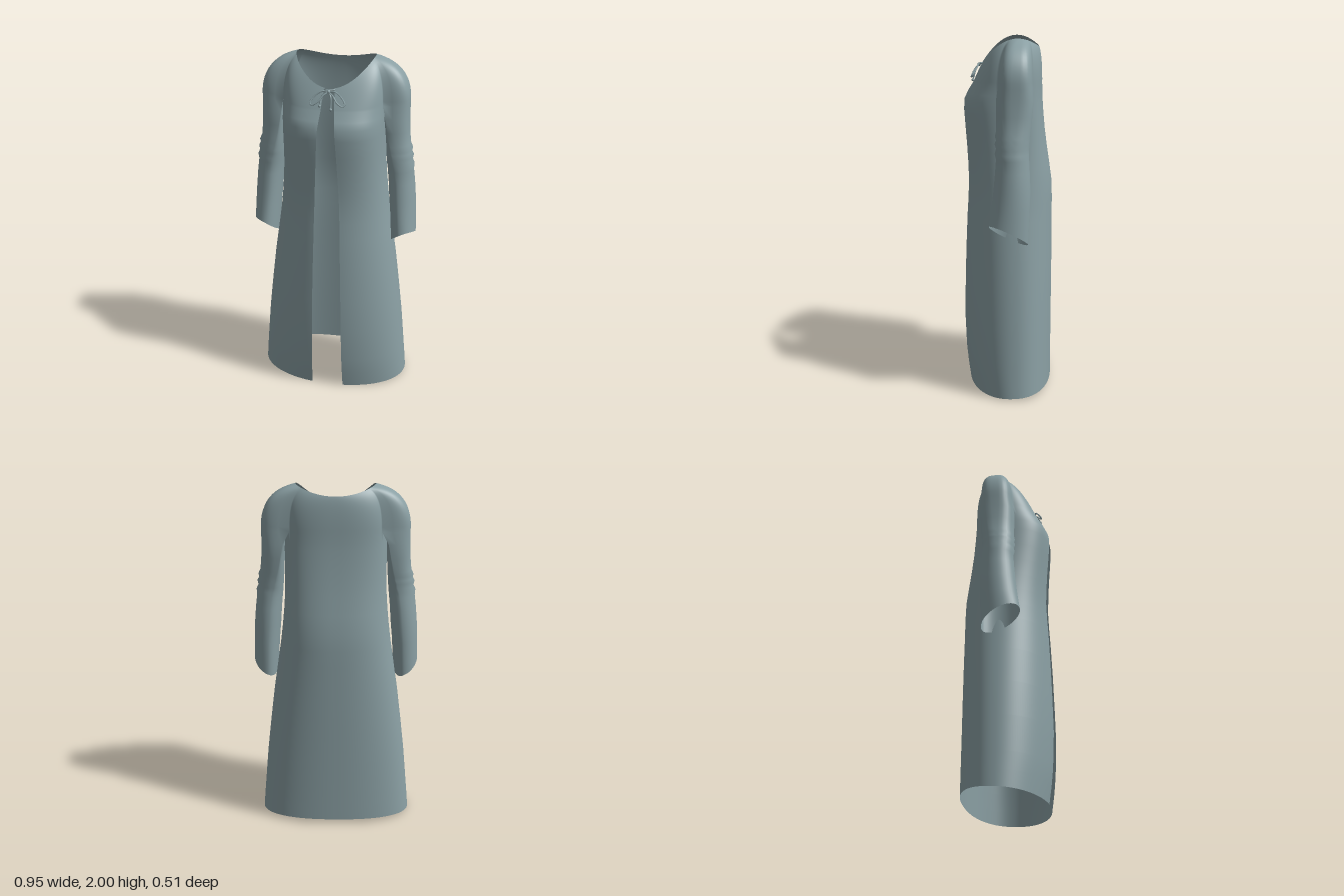
import * as THREE from 'three';

const N = 128;           // columns around the robe, starting and ending at the front slit
const A = 26, B = 43;    // columns spanning the armhole on the +x side
const V = (x, y, z) => new THREE.Vector3(x, y, z);
const lerp = THREE.MathUtils.lerp;
const spow = (v, e) => Math.sign(v) * Math.pow(Math.abs(v), e);

// Angle of a column, leaving a slit of half width g at the front
function columnAngle(j, g, w, e) {
  const t0 = Math.asin(Math.pow(g / w, 1 / e));
  return t0 + (2 * Math.PI - 2 * t0) * j / N;
}

// Open horizontal section: slit g, half width w, front f, back b, squareness front and back
function section(y, g, w, f, b, zc, eFront, eBack) {
  return Array.from({ length: N + 1 }, (_, j) => {
    const t = columnAngle(j, g, w, eFront), s = Math.sin(t), c = Math.cos(t);
    const e = c > 0 ? eFront : eBack;
    return V(w * spow(s, e), y, zc + ((c > 0 ? f : b) - zc) * Math.pow(Math.abs(c), e));
  });
}

// Surface through rows of points, ordered from bottom to top
function loft(rows) {
  const n = rows[0].length, index = [];
  for (let i = 0; i < rows.length - 1; i++)
    for (let j = 0; j < n - 1; j++) {
      const a = i * n + j, c = a + n;
      index.push(a, a + 1, c, a + 1, c + 1, c);
    }
  const geo = new THREE.BufferGeometry().setFromPoints(rows.flat());
  geo.setIndex(index);
  geo.computeVertexNormals();
  return geo;
}

// Share normals where cloth panels meet, so seams shade smoothly
function weldNormals(geos) {
  const at = new Map();
  for (const { attributes: { position: p, normal: m } } of geos)
    for (let i = 0; i < p.count; i++) {
      const key = [p.getX(i), p.getY(i), p.getZ(i)].map(v => Math.round(v * 1e4)).join();
      if (!at.has(key)) at.set(key, []);
      at.get(key).push({ m, i, n: V().fromBufferAttribute(m, i) });
    }
  for (const list of at.values())
    for (const { m, i, n } of list) {
      const sum = V();
      for (const o of list) if (o.n.dot(n) > 0.1) sum.add(o.n);
      sum.normalize();
      m.setXYZ(i, sum.x, sum.y, sum.z);
    }
}

export function createModel() {
  const group = new THREE.Group();
  const cloth = new THREE.MeshStandardMaterial({ color: 0x8a9fa3, side: THREE.DoubleSide });
  cloth.name = 'greyBlueCloth';
  const add = (name, geo, parent = group) => {
    const mesh = new THREE.Mesh(geo, cloth);
    mesh.name = name;
    parent.add(mesh);
  };

  // Body: y, slit, half width, front, back; squarer towards the chest
  const bodyRows = [
    [0.00, 0.094, 0.442, 0.228, -0.252], [0.10, 0.092, 0.435, 0.242, -0.252],
    [0.20, 0.090, 0.426, 0.252, -0.252], [0.40, 0.087, 0.408, 0.260, -0.252],
    [0.60, 0.084, 0.385, 0.256, -0.253], [0.80, 0.080, 0.360, 0.250, -0.253],
    [1.00, 0.075, 0.330, 0.241, -0.252], [1.10, 0.073, 0.315, 0.234, -0.252],
    [1.20, 0.070, 0.303, 0.229, -0.248], [1.30, 0.066, 0.293, 0.231, -0.234],
    [1.40, 0.061, 0.286, 0.236, -0.219], [1.50, 0.056, 0.284, 0.243, -0.206],
    [1.60, 0.050, 0.284, 0.250, -0.197], [1.66, 0.046, 0.284, 0.248, -0.193],
    [1.70, 0.042, 0.284, 0.229, -0.191], [1.75, 0.037, 0.284, 0.198, -0.190],
  ].map(r => {
    const k = THREE.MathUtils.smoothstep(r[0], 0.9, 1.65);
    return section(...r, -0.03, lerp(0.97, 0.72, k), lerp(0.85, 0.72, k));
  });
  // Hem rises a little towards the back
  bodyRows[0].forEach((p, j) => { p.y += 0.014 * (1 - Math.cos(2 * Math.PI * j / N)); });
  const chest = bodyRows[bodyRows.length - 1];

  // Outline at armpit height including both sleeves
  const outline = chest.map((p, j) => {
    const k = Math.min(j, N - j);
    if (k <= A || k >= B) return p.clone();
    const u = (k - A) / (B - A), s = Math.sin(Math.PI * u), c = Math.cos(Math.PI * u);
    const zf = chest[A].z, zb = chest[B].z;
    const base = lerp(chest[A].x, chest[B].x, u);
    return V(Math.sign(p.x) * lerp(base, 0.411, Math.pow(s, 0.6)), p.y,
      (zf + zb) / 2 + (zf - zb) / 2 * spow(c, 0.6));
  });

  // Neckline: highest at the shoulders, dipping at the front
  const neck = section(2, 0.027, 0.218, 0.145, -0.172, -0.05, 1, 1);
  neck.forEach((p, j) => {
    const c = Math.cos(columnAngle(j, 0.027, 0.218, 1));
    p.y -= (c > 0 ? 0.14 : 0.05) * c * c;
  });

  // Yoke curves from the outline over the shoulders to the neckline
  const steps = 14;
  const yokeRows = Array.from({ length: steps + 1 }, () => []);
  outline.forEach((p, j) => {
    const q = neck[j], c = Math.cos(2 * Math.PI * j / N);
    const round = c > 0 ? 1 - 0.92 * Math.pow(c, 1.5) : 1;
    const ctrl = p.clone().lerp(q, 0.5)
      .lerp(V(p.x * 1.02, q.y - 0.045, p.z), round);
    const curve = new THREE.QuadraticBezierCurve3(p, ctrl, q);
    yokeRows.forEach((row, i) => row.push(curve.getPoint(i / steps)));
  });

  // Sleeve: y, inner x, outer x, back, front
  const M = 2 * (B - A);
  const armhole = [...outline.slice(A, B + 1), ...chest.slice(A, B).reverse()].map(p => p.clone());
  const sleeveRows = [
    [1.68, 0.280, 0.412, -0.136, 0.066], [1.60, 0.285, 0.415, -0.130, 0.066],
    [1.52, 0.290, 0.423, -0.122, 0.065], [1.49, 0.291, 0.436, -0.118, 0.072],
    [1.47, 0.293, 0.432, -0.116, 0.066], [1.45, 0.294, 0.443, -0.115, 0.074],
    [1.425, 0.296, 0.438, -0.112, 0.066], [1.40, 0.298, 0.450, -0.112, 0.073],
    [1.37, 0.301, 0.447, -0.112, 0.066], [1.30, 0.308, 0.456, -0.116, 0.071],
    [1.20, 0.315, 0.465, -0.120, 0.080], [1.10, 0.325, 0.471, -0.117, 0.092],
    [0.955, 0.336, 0.475, -0.108, 0.106],
  ].map(([y, xi, xo, b, f], r, all) => Array.from({ length: M + 1 }, (_, i) => {
    const a = 2 * Math.PI * i / M, s = Math.sin(a), c = Math.cos(a);
    // Flat against the body at the armpit, rounder from the elbow down
    const v = Math.min(1, (1.75 - y) / 0.4), p = lerp(0.6, 1, v);
    const xm = lerp(xi, xo, 0.42 * v);
    const x = s > 0 ? lerp(xm, xo, Math.pow(s, p)) : lerp(xm, xi, -s);
    // Slanted cuff, lowest at the inner back
    const slant = r === all.length - 1 ? 0.05 * c + 0.035 * s : 0;
    return V(x, y + slant, (b + f) / 2 + (f - b) / 2 * spow(c, p));
  }));
  const leftRows = [armhole, ...sleeveRows].reverse();
  const rightRows = leftRows.map(row => row.map(p => V(-p.x, p.y, p.z)).reverse());

  const panels = {
    body: loft(bodyRows), yoke: loft(yokeRows),
    leftSleeve: loft(leftRows), rightSleeve: loft(rightRows),
  };
  weldNormals(Object.values(panels));
  for (const [name, geo] of Object.entries(panels)) add(name, geo);

  // Neck tie: bow loops, hanging ends and a knot
  const tie = new THREE.Group();
  tie.name = 'neckTie';
  group.add(tie);
  const cord = (name, pts) => add(name, new THREE.TubeGeometry(
    new THREE.CatmullRomCurve3(pts.map(p => V(...p))), 28, 0.0045, 6), tie);
  const ball = (name, x, y, z, r) => add(name, new THREE.SphereGeometry(r, 10, 8).translate(x, y, z), tie);
  for (const s of [1, -1]) {
    cord('bowLoop', [[0, 1.848, 0.162], [s * 0.035, 1.850, 0.168], [s * 0.072, 1.825, 0.180],
      [s * 0.094, 1.792, 0.200], [s * 0.082, 1.784, 0.206], [s * 0.052, 1.800, 0.200],
      [s * 0.025, 1.832, 0.180], [0, 1.846, 0.164]]);
    const end = s > 0 ? [0.018, 1.762, 0.200] : [-0.042, 1.778, 0.198];
    cord('hangingEnd', [[0, 1.846, 0.164], [end[0] * 0.8, 1.825, 0.180], end]);
    ball('endKnot', ...end, 0.008);
  }
  cord('crossCord', [[-0.03, 1.853, 0.143], [0, 1.855, 0.160], [0.03, 1.853, 0.143]]);
  ball('bowKnot', 0, 1.848, 0.164, 0.010);

  return group;
}
